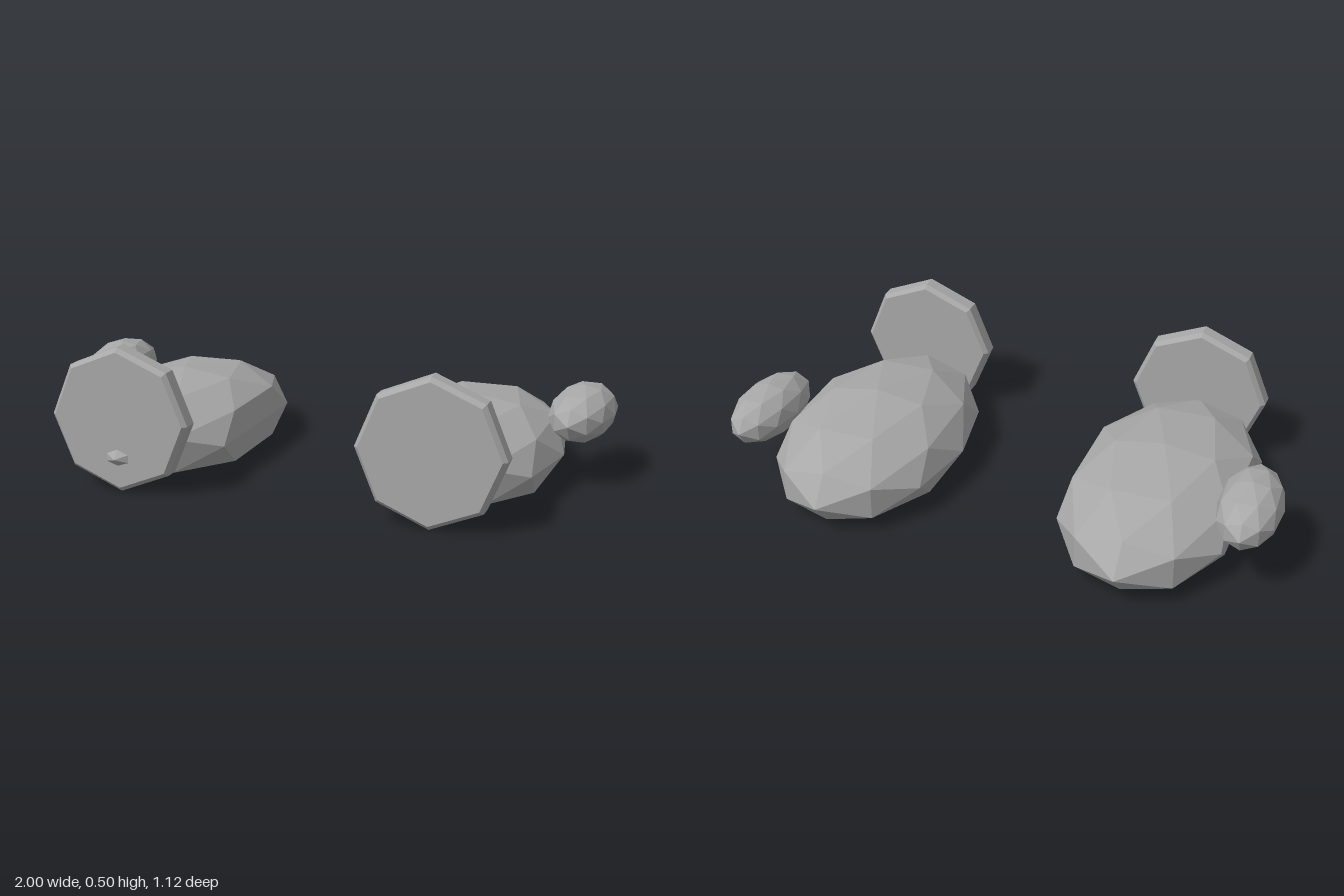
import * as THREE from 'three';

const grey = new THREE.MeshStandardMaterial({ color: 0xa8a8a8, flatShading: true });
grey.name = 'stone grey';

function add(group, name, geometry, x, y, z) {
  const mesh = new THREE.Mesh(geometry, grey);
  mesh.name = name;
  mesh.position.set(x, y, z);
  group.add(mesh);
  return mesh;
}

// Faceted ellipsoid; boxy > 1 squares off the sides, floor flattens the underside
function pebble(rx, ry, rz, boxy = 1, floor = -Infinity) {
  const geo = new THREE.IcosahedronGeometry(1, 1);
  const p = geo.attributes.position;
  for (let i = 0; i < p.count; i++) {
    const x = THREE.MathUtils.clamp(p.getX(i) * boxy, -1, 1) * rx;
    p.setXYZ(i, x, Math.max(p.getY(i) * ry, floor), p.getZ(i) * rz);
  }
  geo.computeVertexNormals();
  return geo;
}

// Eight-sided disc with chamfered rims, facing z
function cuffGeometry() {
  const profile = [[0, -0.04], [0.235, -0.04], [0.25, -0.025], [0.25, 0.025], [0.235, 0.04], [0, 0.04]];
  const geo = new THREE.LatheGeometry(profile.map(([r, y]) => new THREE.Vector2(r, y)), 8);
  return geo.rotateX(Math.PI / 2);
}

function createHand(name, { palm, centre, boxy, cuffX, thumbX, thumbY, thumbZ, lean }) {
  const hand = new THREE.Group();
  hand.name = name;
  add(hand, 'palm', pebble(...palm, boxy, -0.09), ...centre);
  add(hand, 'cuff', cuffGeometry(), cuffX, 0.255, 0.495);
  const thumb = add(hand, 'thumb', pebble(0.111, 0.096, 0.215), thumbX, thumbY, thumbZ);
  thumb.rotation.y = lean;
  return hand;
}

export function createModel() {
  const model = new THREE.Group();
  model.name = 'pair of hands';
  model.add(createHand('rightHand', {
    palm: [0.285, 0.188, 0.56], centre: [-0.545, 0.125, 0], boxy: 1.18,
    cuffX: -0.54, thumbX: -0.888, thumbY: 0.248, thumbZ: -0.168, lean: 0.06,
  }));
  model.add(createHand('leftHand', {
    palm: [0.33, 0.188, 0.522], centre: [0.525, 0.125, -0.02], boxy: 1,
    cuffX: 0.54, thumbX: 0.888, thumbY: 0.243, thumbZ: -0.16, lean: -0.06,
  }));
  return model;
}
